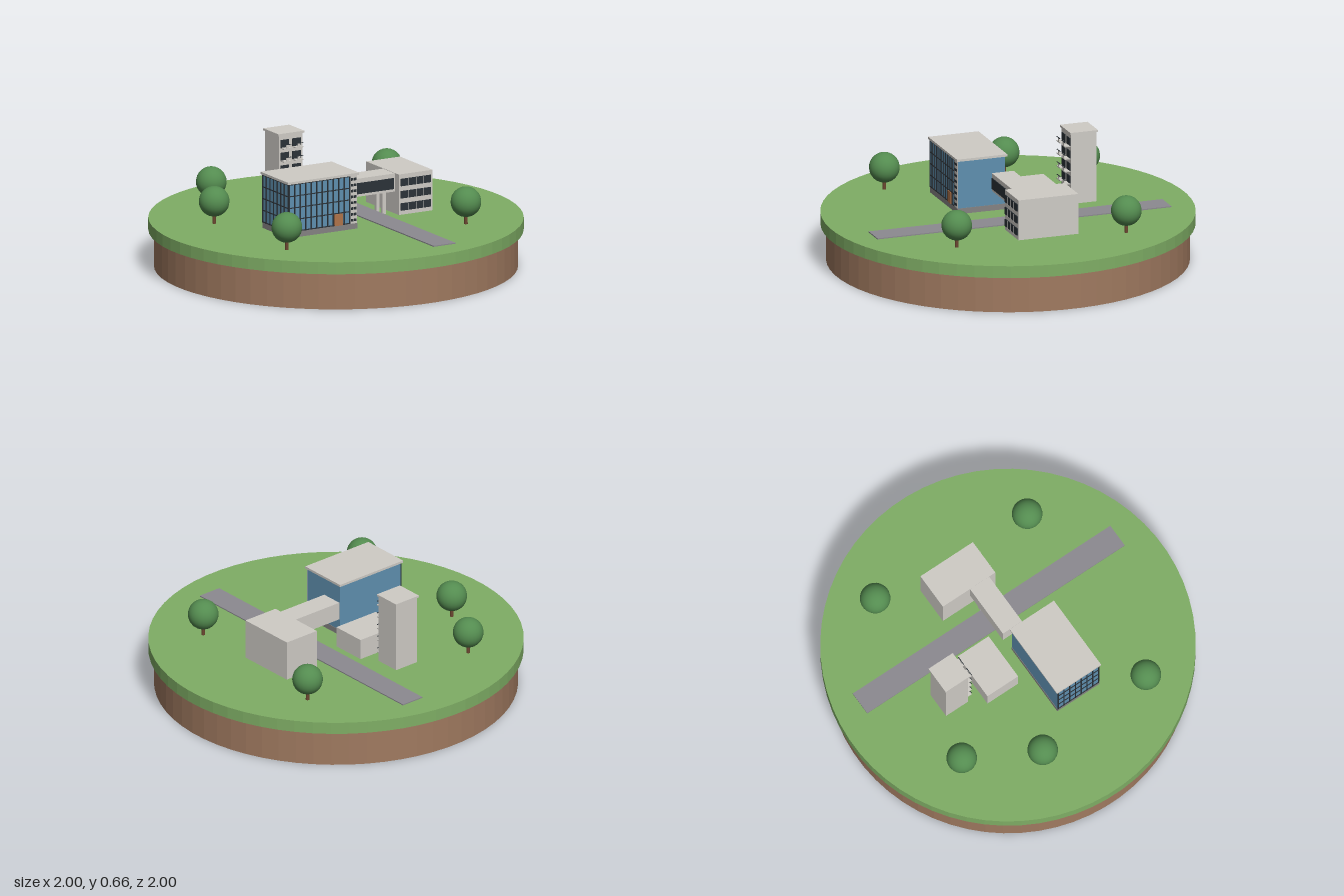
import * as THREE from 'three';

const mat = (name, color, extra = {}) => Object.assign(new THREE.MeshStandardMaterial({ color, ...extra }), { name });

export function createModel() {
  const M = {
    grass: mat('grass green', 0x7fae65, { flatShading: true }),
    soil: mat('soil brown', 0xa07a60, { flatShading: true }),
    leaf: mat('leaf green', 0x548c50),
    trunk: mat('trunk brown', 0x6b4630),
    concrete: mat('light concrete', 0xcfccc6),
    glass: mat('blue glass', 0x5f90b0),
    dark: mat('dark window', 0x2b3238),
    road: mat('road grey', 0x8c8a90),
    plinth: mat('plinth grey', 0x858383),
    door: mat('door orange', 0xb0744a),
  };
  const model = new THREE.Group();
  model.name = 'campusIsland';
  const G = 0.266; // ground level

  const add = (parent, name, geo, material, x, y, z) => {
    const m = new THREE.Mesh(geo, material);
    m.name = name;
    m.position.set(x, y, z);
    parent.add(m);
    return m;
  };
  // box given by its limits on each axis
  const box = (parent, name, material, x0, x1, y0, y1, z0, z1) =>
    add(parent, name, new THREE.BoxGeometry(x1 - x0, y1 - y0, z1 - z0), material,
      (x0 + x1) / 2, (y0 + y1) / 2, (z0 + z1) / 2);
  const group = (parent, name) => {
    const g = new THREE.Group();
    g.name = name;
    parent.add(g);
    return g;
  };

  // island
  add(model, 'soilBase', new THREE.CylinderGeometry(0.97, 0.97, 0.2, 64), M.soil, 0, 0.1, 0);
  add(model, 'grassDisc', new THREE.CylinderGeometry(1, 1, G - 0.2, 64), M.grass, 0, (G + 0.2) / 2, 0);

  // trees
  for (const [x, z] of [[-0.193, -0.70], [-0.519, -0.414], [-0.722, 0.251], [0.321, 0.631], [0.706, -0.227]]) {
    const tree = group(model, 'tree');
    tree.position.set(x, G, z);
    add(tree, 'trunk', new THREE.CylinderGeometry(0.008, 0.01, 0.07, 10), M.trunk, 0, 0.035, 0);
    add(tree, 'crown', new THREE.SphereGeometry(0.082, 24, 16), M.leaf, 0, 0.122, 0);
  }

  // everything built shares one turned grid
  const campus = group(model, 'campus');
  campus.rotation.y = -THREE.MathUtils.degToRad(20);
  box(campus, 'road', M.road, 0.109, 0.244, G, G + 0.006, -0.837, 0.832);

  // glass hall
  const hall = group(campus, 'glassHall');
  const [x0, x1, z0, z1, y0, y1] = [-0.456, -0.033, 0.004, 0.272, 0.297, 0.56];
  box(hall, 'plinth', M.plinth, x0 - 0.002, x1 + 0.002, G, y0, z0 - 0.002, z1 + 0.002);
  box(hall, 'glassBody', M.glass, x0, x1, y0, y1, z0, z1);
  box(hall, 'roofSlab', M.concrete, -0.465, -0.024, y1, 0.573, -0.005, 0.281);
  const xs = x1 - 0.044; // edge of the stair strip
  for (let i = 0; i <= 11; i++) {
    const x = x0 + 0.002 + (xs - x0 - 0.004) * i / 11;
    box(hall, 'frontMullion', M.dark, x - 0.0025, x + 0.0025, y0, y1, z1, z1 + 0.005);
  }
  for (let i = 0; i <= 7; i++) {
    const z = z0 + 0.003 + (z1 - z0 - 0.006) * i / 7;
    box(hall, 'sideMullion', M.dark, x0 - 0.005, x0, y0, y1, z - 0.0025, z + 0.0025);
  }
  for (let i = 0; i <= 4; i++) {
    const y = y0 + 0.003 + (y1 - y0 - 0.006) * i / 4;
    box(hall, 'frontTransom', M.dark, x0, xs, y - 0.0025, y + 0.0025, z1, z1 + 0.004);
    box(hall, 'sideTransom', M.dark, x0 - 0.004, x0, y - 0.0025, y + 0.0025, z0, z1);
  }
  box(hall, 'stairStrip', M.concrete, xs, x1, y0, y1, z1, z1 + 0.004);
  for (let i = 0; i < 8; i++) {
    const y = y0 + 0.012 + i * 0.032;
    box(hall, 'stairOpening', M.dark, xs + 0.006, xs + 0.019, y, y + 0.014, z1 + 0.003, z1 + 0.006);
    box(hall, 'stairOpening', M.dark, xs + 0.025, xs + 0.038, y, y + 0.014, z1 + 0.003, z1 + 0.006);
  }
  box(hall, 'door', M.door, -0.174, -0.124, y0, 0.36, z1, z1 + 0.008);

  // tower with two columns of balconies
  const tower = group(campus, 'tower');
  const tz = -0.357;
  box(tower, 'towerBody', M.concrete, -0.142, 0.005, G, 0.653, -0.5, tz);
  box(tower, 'towerRoof', M.concrete, -0.149, 0.012, 0.653, 0.664, -0.507, -0.35);
  for (let f = 0; f < 5; f++) {
    const y = 0.587 - f * 0.07;
    for (const x of [-0.106, -0.033]) {
      box(tower, 'balconyWindow', M.dark, x - 0.026, x + 0.026, y, y + 0.042, tz, tz + 0.004);
      box(tower, 'balconySlab', M.concrete, x - 0.024, x + 0.024, y - 0.006, y, tz, tz + 0.032);
      box(tower, 'balconyRail', M.dark, x - 0.024, x + 0.024, y + 0.018, y + 0.021, tz + 0.028, tz + 0.032);
      box(tower, 'balconyPanel', M.concrete, x - 0.008, x + 0.008, y, y + 0.02, tz + 0.027, tz + 0.031);
    }
  }

  // low block between tower and bridge
  const low = group(campus, 'lowBlock');
  box(low, 'lowBody', M.concrete, -0.21, 0.066, G, 0.38, -0.279, -0.08);
  for (let i = 0; i < 2; i++) {
    const x = -0.19 + i * 0.125;
    box(low, 'lowWindow', M.dark, x, x + 0.11, 0.3, 0.35, -0.08, -0.076);
  }

  // bridge over the road
  const bridge = group(campus, 'bridge');
  box(bridge, 'bridgeBody', M.concrete, 0.003, 0.312, 0.387, 0.486, -0.031, 0.093);
  box(bridge, 'bridgeWindowFront', M.dark, 0.012, 0.302, 0.402, 0.462, 0.093, 0.098);
  for (const z of [0, 0.065]) box(bridge, 'bridgePillar', M.concrete, 0.245, 0.265, G, 0.387, z - 0.01, z + 0.01);

  // three storey block
  const block = group(campus, 'officeBlock');
  box(block, 'officeBody', M.concrete, 0.31, 0.52, G, 0.488, -0.207, 0.133);
  for (let f = 0; f < 3; f++) {
    const y = 0.289 + f * 0.067;
    box(block, 'windowBand', M.dark, 0.322, 0.508, y, y + 0.04, 0.133, 0.138);
    for (let i = 1; i < 4; i++) {
      const x = 0.322 + i * 0.0465;
      box(block, 'windowPost', M.concrete, x - 0.002, x + 0.002, y, y + 0.04, 0.137, 0.14);
    }
  }
  return model;
}
